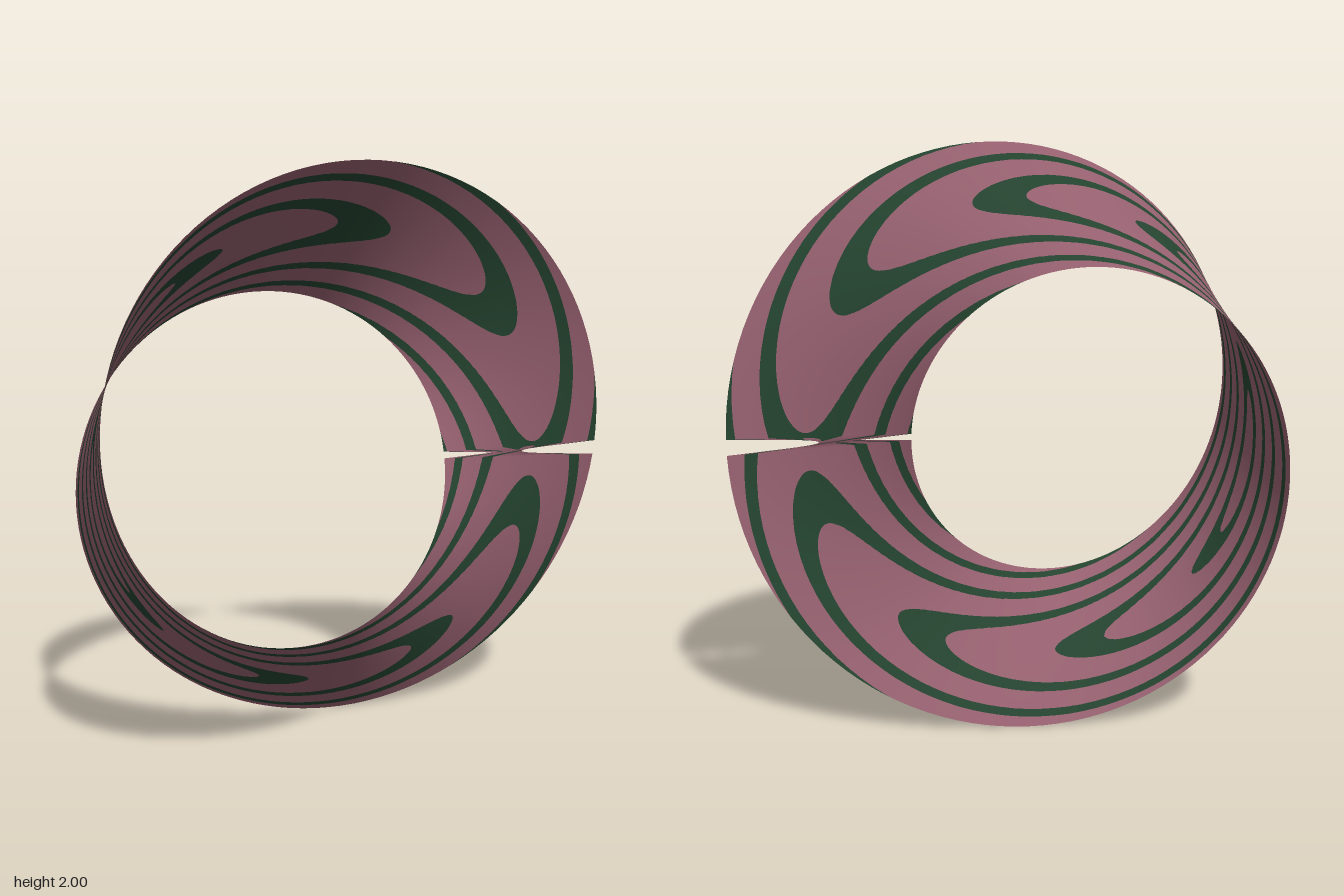
import * as THREE from 'three';

const R = 0.776, HALF = 0.31, CX = -0.153, CY = 1;   // ring radius, half width, ring centre
const COLS = 128, ROWS = 64;

// One point of the half-twisted band: position, normal and stripe value
function bandPoint(i, j) {
  const u = (i / COLS) * Math.PI * 2;
  const v = (j / ROWS * 2 - 1) * HALF;
  const c = Math.cos(u / 2), s = Math.sin(u / 2), r = R + v * c;
  const p = new THREE.Vector3(CX + r * Math.cos(u), CY + r * Math.sin(u), v * s);
  const dU = new THREE.Vector3(
    -r * Math.sin(u) - v * s / 2 * Math.cos(u),
    r * Math.cos(u) - v * s / 2 * Math.sin(u),
    v * c / 2);
  const dV = new THREE.Vector3(c * Math.cos(u), c * Math.sin(u), s);
  return { p, n: dU.cross(dV).normalize(), h: stripe(u, v) };
}

// Long oval rings around the far side of the band; positive inside a dark stripe
function stripe(u, v) {
  const d = 191 - THREE.MathUtils.radToDeg(u);
  const axis = 0.05 * Math.tanh(d / 90);
  const f = Math.hypot(d / 42.5, (v - axis) / 0.074);
  return Math.cos(2 * Math.PI * (f - 0.63)) - Math.cos(2 * Math.PI * 0.16);
}

const mix = (a, b) => {
  const t = a.h / (a.h - b.h);
  return { p: a.p.clone().lerp(b.p, t), n: a.n.clone().lerp(b.n, t), h: 0 };
};

// Keep the part of a triangle on one side of the stripe border
function clip(tri, sign, out) {
  const poly = [];
  tri.forEach((a, k) => {
    const b = tri[(k + 1) % 3];
    if (a.h * sign >= 0) poly.push(a);
    if (a.h * b.h < 0) poly.push(mix(a, b));
  });
  for (let k = 1; k + 1 < poly.length; k++) out.push(poly[0], poly[k], poly[k + 1]);
}

function toMesh(name, points, material) {
  const geometry = new THREE.BufferGeometry();
  const flat = key => new THREE.Float32BufferAttribute(points.flatMap(q => q[key].toArray()), 3);
  geometry.setAttribute('position', flat('p'));
  geometry.setAttribute('normal', flat('n'));
  const mesh = new THREE.Mesh(geometry, material);
  mesh.name = name;
  return mesh;
}

export function createModel() {
  const rose = new THREE.MeshStandardMaterial({ name: 'rose', color: 0x945f6e, side: THREE.DoubleSide });
  const green = new THREE.MeshStandardMaterial({ name: 'darkGreen', color: 0x24432f, side: THREE.DoubleSide });

  const grid = Array.from({ length: COLS }, (_, i) =>
    Array.from({ length: ROWS + 1 }, (_, j) => bandPoint(i, j)));

  // The last column joins the first row to row, which leaves a crossed seam
  const base = [], stripes = [];
  for (let i = 0; i < COLS; i++) {
    const left = grid[i], right = grid[(i + 1) % COLS];
    for (let j = 0; j < ROWS; j++) {
      const a = left[j], b = right[j], c = right[j + 1], d = left[j + 1];
      for (const tri of [[a, b, c], [a, c, d]]) {
        clip(tri, -1, base);
        clip(tri, 1, stripes);
      }
    }
  }

  const group = new THREE.Group();
  group.name = 'twistedBand';
  group.add(toMesh('bandSurface', base, rose), toMesh('bandStripes', stripes, green));
  return group;
}
